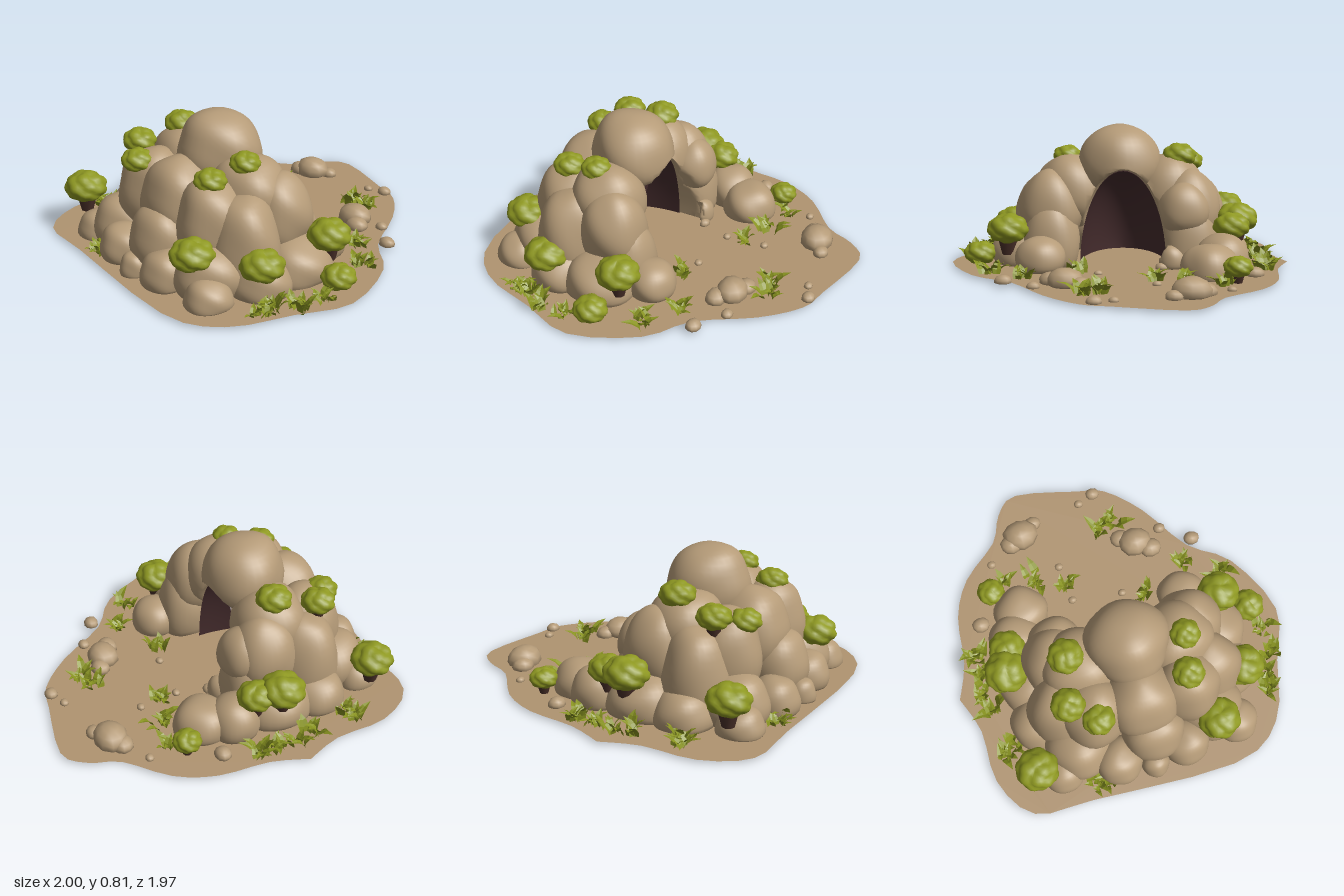
import * as THREE from 'three';
import { mergeVertices, mergeGeometries } from 'three/addons/utils/BufferGeometryUtils.js';

const GROUND = 0.013, BASE = 0.016;
const material = (name, color, side = THREE.FrontSide) => {
  const m = new THREE.MeshStandardMaterial({ color, side });
  m.name = name;
  return m;
};

let seed = 7;
const random = () => (seed = (seed * 16807) % 2147483647) / 2147483647;

// Cave hollow: an arched tunnel opening to +x with a rounded back end
const CAVE = { x: -0.15, z: -0.02, depth: 0.45, height: 0.575, width: 0.26 };
const caveDistance = v =>
  Math.hypot(Math.min(0, v.x - CAVE.x) / CAVE.depth, v.y / CAVE.height, (v.z - CAVE.z) / CAVE.width);

// Smooth unit sphere whose vertices are moved by a rule
function shapedSphere(w, h, rule) {
  let g = new THREE.SphereGeometry(1, w, h);
  g.deleteAttribute('uv');
  g.deleteAttribute('normal');
  g = mergeVertices(g, 1e-4);
  const p = g.attributes.position, v = new THREE.Vector3();
  for (let i = 0; i < p.count; i++) {
    rule(v.fromBufferAttribute(p, i));
    p.setXYZ(i, v.x, v.y, v.z);
  }
  g.computeVertexNormals();
  return g;
}

// Boulder resting on the ground and kept out of the cave hollow
function boulder(x, y, z, rx, ry, rz, w, h) {
  return shapedSphere(w, h, v => {
    const k = 1 + 0.035 * Math.sin(3 * v.x + 9 * x) * Math.cos(4 * v.z + 7 * z) + 0.025 * Math.sin(5 * v.y + 4 * v.x);
    v.set(x + v.x * rx * k, Math.max(BASE, y + v.y * ry * k), z + v.z * rz * k);
    const d = caveDistance(v);
    if (v.x < 0.03 && d < 1) {
      v.y /= d;
      v.z = CAVE.z + (v.z - CAVE.z) / d;
      if (v.x < CAVE.x) v.x = CAVE.x + (v.x - CAVE.x) / d;
    }
  });
}

// Cushion of leaves with rounded bumps spread evenly over it
function bush(x, y, z, r) {
  const turn = random() * 6, bumps = [];
  for (let i = 0; i < 24; i++) {
    const h = 1 - (2 * i + 1) / 24, a = i * 2.4 + turn, s = Math.sqrt(1 - h * h);
    bumps.push(new THREE.Vector3(s * Math.cos(a), h, s * Math.sin(a)));
  }
  return shapedSphere(32, 20, v => {
    const near = Math.max(...bumps.map(b => b.dot(v)));
    const k = 1.05 - 1.5 * (1 - near);
    v.set(x + v.x * r * k, y + v.y * r * (v.y > 0 ? 0.75 : 0.65) * k, z + v.z * r * k);
  });
}

// One tuft of broad, bent, folded blades
function tuft(x, z) {
  const blades = [], size = 0.09 + 0.02 * random();
  for (let i = 0; i < 11; i++) {
    const g = new THREE.PlaneGeometry(1, 1, 2, 3), p = g.attributes.position;
    const a = i * 2.4 + random(), len = size * (0.7 + 0.5 * random()), lean = 0.4 + 0.6 * random();
    const bx = x + (random() - 0.5) * size * 0.8, bz = z + (random() - 0.5) * size * 0.8;
    for (let j = 0; j < p.count; j++) {
      const t = p.getY(j) + 0.5, side = p.getX(j) * 2;
      const width = len * 0.25 * (1 - t) * (0.75 + 1.8 * t) * side;
      const out = len * lean * (0.25 * t + 0.75 * t * t);
      const up = len * (1.1 * t - 0.5 * lean * t * t) + Math.abs(width) * 0.3;
      p.setXYZ(j, bx + Math.cos(a) * out - Math.sin(a) * width, up, bz + Math.sin(a) * out + Math.cos(a) * width);
    }
    blades.push(g.toNonIndexed());
  }
  const g = mergeGeometries(blades);
  g.computeVertexNormals();
  return g;
}

export function createModel() {
  const model = new THREE.Group();
  const rock = material('sandy rock', 0xb59b78);
  const earth = material('dry earth', 0xb09471, THREE.DoubleSide);
  const dark = material('cave darkness', 0x452c2d, THREE.DoubleSide);
  const leaf = material('bush green', 0x8f9922);
  const grass = material('grass green', 0x889320, THREE.DoubleSide);
  const wood = material('dark stem', 0x4a3029);
  const add = (name, geometry, mat) => {
    const mesh = new THREE.Mesh(geometry, mat);
    mesh.name = name;
    model.add(mesh);
  };

  // Ground patch
  const outline = new THREE.SplineCurve([
    [-.18, -.985], [.03, -.905], [.32, -.87], [.54, -.76], [.73, -.545], [.9, -.465], [1, -.33], [.92, .04], [.87, .21],
    [.68, .4], [.38, .59], [.2, .82], [-.17, .98], [-.48, .88], [-.83, .75], [-1, .44],
    [-.97, -.4], [-.95, -.74], [-.71, -.9], [-.4, -.91], [-.18, -.985]
  ].map(([x, z]) => new THREE.Vector2(x, -z)));
  const patch = new THREE.Shape(outline.getPoints(60));
  add('ground', new THREE.ShapeGeometry(patch).rotateX(-Math.PI / 2).translate(0, GROUND, 0), earth);

  // Mound boulders: x, y, z, radius, half height
  const moundBoulder = (x, y, z, r, ry) => add('moundBoulder', boulder(x, y, z, r, ry, r, 32, 22), rock);
  // Pairs on both sides of the cave: shoulder, arch leg, foot, flank, back
  [
    [-.3, .42, .28, .22, .22], [-.2, .32, .4, .19, .24], [-.12, .13, .4, .17, .27], [-.2, .07, .54, .21, .17],
    [-.45, .18, .43, .2, .34], [-.45, .06, .57, .17, .15], [-.54, .3, .27, .2, .28], [-.66, .1, .39, .19, .18],
    [-.76, .04, .52, .13, .12], [-.8, .07, .2, .14, .14]
  ].forEach(([x, y, z, r, ry]) => [1, -1].forEach(s => moundBoulder(x, y, s * z, r, ry)));
  // Single ones: crown, back, then the ones at the entrance
  [
    [-.29, .58, 0, .235, .24], [-.55, .36, 0, .22, .25], [-.7, .17, .03, .18, .22], [-.87, .04, 0, .08, .1],
    [-.1, .33, -.37, .15, .17], [.06, .08, .45, .14, .13], [.23, .06, -.5, .16, .14], [.07, .08, -.58, .15, .15],
    [0, .06, -.3, .08, .09]
  ].forEach(b => moundBoulder(...b));

  // Dark lining of the hollow
  const lining = new THREE.PlaneGeometry(1, 1, 28, 14), lp = lining.attributes.position;
  for (let i = 0; i < lp.count; i++) {
    const a = (lp.getX(i) + 0.5) * Math.PI, t = (lp.getY(i) + 0.5) * Math.PI / 2;
    const s = 0.965 * Math.cos(t);
    lp.setXYZ(i, CAVE.x + 0.02 - Math.sin(t) * CAVE.depth,
      Math.max(BASE, s * CAVE.height * Math.sin(a)), CAVE.z + s * CAVE.width * Math.cos(a));
  }
  lining.computeVertexNormals();
  add('caveLining', lining, dark);

  // Loose stones: x, z, radius
  [
    [.72, -.37, .095], [.68, -.44, .06], [.78, -.28, .045], [.48, .29, .09], [.53, .21, .055], [.42, .37, .06],
    [.23, -.75, .047], [.59, -.59, .024], [.05, -.24, .035], [.23, -.18, .023], [.46, -.2, .023],
    [.19, .12, .023], [.83, .03, .025], [.87, .13, .038], [.41, .63, .043], [.53, .46, .033]
  ].forEach(([x, z, r]) =>
    add('looseStone', boulder(x, GROUND + r * 0.35, z, r, r * 0.8, r * 1.15, 10, 7), rock));

  // Bushes on short stems: x, y, z, radius
  [
    [-.76, .25, -.66, .12], [-.17, .27, -.68, .125], [-.03, .25, -.64, .105], [.39, .1, -.64, .08],
    [-.54, .565, -.41, .095], [-.65, .52, -.27, .09], [-.29, .625, -.35, .1], [-.55, .56, .27, .09],
    [-.35, .62, .31, .085], [-.77, .25, .4, .12], [-.5, .2, .64, .12], [-.04, .23, .64, .12], [-.12, .075, .81, .095]
  ].forEach(([x, y, z, r]) => {
    const h = Math.min(y - GROUND, r * 1.2);
    add('bush', bush(x, y, z, r), leaf);
    add('bushStem', new THREE.CylinderGeometry(r * 0.6, r * 0.3, h, 8).translate(x, y - h / 2, z), wood);
  });

  // Grass tufts: x, z
  [
    [-.56, -.82], [-.54, -.73], [-.29, -.82], [-.17, -.85], [-.06, -.83], [.05, -.82], [.45, -.57], [.42, -.36],
    [.34, -.2], [-.9, -.35], [-.88, -.28], [.15, .24], [.62, .1], [.67, .21], [.28, .54], [.14, .73],
    [-.27, .86], [-.41, .85], [-.63, .78], [-.53, .77]
  ].forEach(([x, z]) => add('grassTuft', tuft(x, z), grass));

  return model;
}
